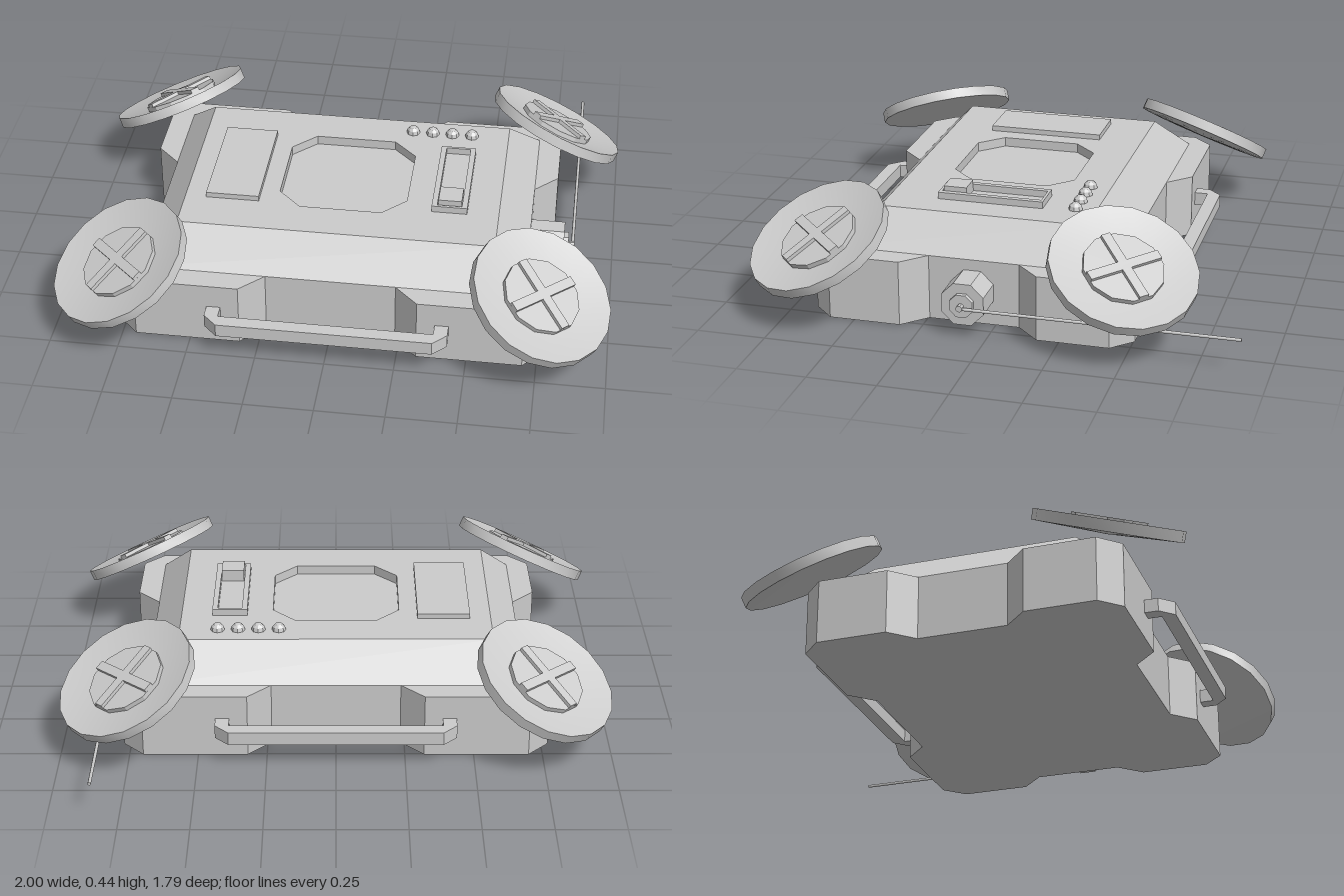
import * as THREE from 'three';
import { toCreasedNormals } from 'three/addons/utils/BufferGeometryUtils.js';

const grey = new THREE.MeshStandardMaterial({ color: 0xcccccc, flatShading: true });
const greySmooth = new THREE.MeshStandardMaterial({ color: 0xcccccc });
const greyDouble = new THREE.MeshStandardMaterial({ color: 0xcccccc, flatShading: true, side: THREE.DoubleSide });

function add(parent, name, geometry, x = 0, y = 0, z = 0, material = grey) {
  const mesh = new THREE.Mesh(geometry, material);
  mesh.name = name;
  mesh.position.set(x, y, z);
  parent.add(mesh);
  return mesh;
}

// Outlines are [x, z] pairs; shapes are drawn flat and laid onto the ground plane.
const toShape = (pts, Type = THREE.Shape) => new Type(pts.map(([x, z]) => new THREE.Vector2(x, -z)));

function flat(pts, hole) {
  const shape = toShape(pts);
  if (hole) shape.holes.push(toShape(hole, THREE.Path));
  return new THREE.ShapeGeometry(shape).rotateX(-Math.PI / 2);
}

function slab(pts, height, hole) {
  const shape = toShape(pts);
  if (hole) shape.holes.push(toShape(hole, THREE.Path));
  return new THREE.ExtrudeGeometry(shape, { depth: height, bevelEnabled: false }).rotateX(-Math.PI / 2);
}

const rect = (w, d) => [[-w / 2, d / 2], [w / 2, d / 2], [w / 2, -d / 2], [-w / 2, -d / 2]];

// Repeats a front-right quarter outline around all four quadrants
function fourWay(quarter) {
  const back = [...quarter].reverse();
  return [
    ...quarter,
    ...back.map(([x, z]) => [x, -z]),
    ...quarter.map(([x, z]) => [-x, -z]),
    ...back.map(([x, z]) => [-x, z]),
  ];
}

// Side walls joining two outlines at different heights
function walls(low, yLow, high, yHigh) {
  const pos = [];
  low.forEach(([ax, az], i) => {
    const j = (i + 1) % low.length;
    const [bx, bz] = low[j], [cx, cz] = high[j], [dx, dz] = high[i];
    pos.push(ax, yLow, az, bx, yLow, bz, cx, yHigh, cz);
    pos.push(ax, yLow, az, cx, yHigh, cz, dx, yHigh, dz);
  });
  const g = new THREE.BufferGeometry();
  g.setAttribute('position', new THREE.Float32BufferAttribute(pos, 3));
  g.computeVertexNormals();
  return g;
}

function makeWheel() {
  const wheel = new THREE.Group();
  // Shallow dished disc
  const profile = [[0, -0.03], [0.265, -0.02], [0.265, 0.02], [0.15, -0.004], [0, -0.004]]
    .map(([r, y]) => new THREE.Vector2(r, y));
  add(wheel, 'wheelDisc', toCreasedNormals(new THREE.LatheGeometry(profile, 18), 0.5), 0, 0, 0, greySmooth);
  // Hub with crossed bars
  add(wheel, 'wheelHub', new THREE.CylinderGeometry(0.145, 0.145, 0.025, 12), 0, 0.002, 0);
  for (const s of [-1, 1]) {
    add(wheel, 'hubBar', new THREE.BoxGeometry(0.28, 0.018, 0.035), 0, 0.019, 0).rotation.y = s * Math.PI / 4;
  }
  return wheel;
}

export function createModel() {
  const model = new THREE.Group();
  model.name = 'fourWheeledCase';
  const body = new THREE.Group();
  body.name = 'body';
  body.position.z = 0.08;
  model.add(body);

  // Lower hull with protruding chamfered corners
  const hull = fourWay([[0.235, 0.5], [0.32, 0.585], [0.7, 0.585], [0.775, 0.51], [0.775, 0.25], [0.69, 0.165]]);
  add(body, 'lowerHull', slab(hull, 0.24));

  // Sloped upper hull with an eight-sided recess
  const top = 0.365, floor = 0.33;
  const lidTop = rect(1.15, 0.76);
  const recess = fourWay([[0.15, 0.23], [0.235, 0.145]]);
  add(body, 'upperSlopes', walls(rect(1.38, 1), 0.24, lidTop, top));
  add(body, 'topDeck', flat(lidTop, recess), 0, top, 0);
  add(body, 'recessWalls', walls(recess, floor, recess, top), 0, 0, 0, greyDouble);
  add(body, 'recessFloor', flat(recess), 0, floor, 0);

  // Deck fittings: flat panel, slider in a frame, row of buttons
  add(body, 'deckPanel', new THREE.BoxGeometry(0.195, 0.03, 0.435), -0.4, 0.37, 0);
  add(body, 'sliderFrame', slab(rect(0.13, 0.39), 0.025, rect(0.09, 0.37)), 0.395, top, 0.005);
  add(body, 'sliderKnob', new THREE.BoxGeometry(0.085, 0.05, 0.085), 0.396, 0.383, 0.142);
  for (let i = 0; i < 4; i++) {
    add(body, 'button', new THREE.SphereGeometry(0.026, 8, 6), 0.21 + i * 0.075, 0.367, -0.305);
  }

  // Grab handles on the front and back
  const handle = [
    [-0.435, 0.58], [-0.435, 0.635], [-0.385, 0.685], [0.385, 0.685], [0.435, 0.635], [0.435, 0.58],
    [0.385, 0.58], [0.385, 0.635], [-0.385, 0.635], [-0.385, 0.58],
  ];
  add(body, 'frontHandle', slab(handle, 0.05), 0, 0.1, 0);
  add(body, 'backHandle', slab(handle, 0.05), 0, 0.1, 0).rotation.y = Math.PI;

  // Outward-tilted wheels on the four corners
  for (const sx of [-1, 1]) for (const sz of [-1, 1]) {
    const wheel = makeWheel();
    wheel.name = (sz > 0 ? 'front' : 'back') + (sx > 0 ? 'Left' : 'Right') + 'Wheel';
    wheel.position.set(sx * 0.75, 0.29, sz * 0.55);
    const axis = new THREE.Vector3(sx * 0.41, 0.86, sz * 0.3).normalize();
    wheel.quaternion.setFromUnitVectors(new THREE.Vector3(0, 1, 0), axis);
    body.add(wheel);
  }

  // Stepped antenna mount and long rod on the left side
  const antenna = new THREE.Group();
  antenna.name = 'antenna';
  antenna.position.set(0, 0.123, 0.005);
  body.add(antenna);
  const stub = (name, r, x0, x1) => add(antenna, name,
    new THREE.CylinderGeometry(r, r, x1 - x0, 8).rotateY(Math.PI / 8).rotateZ(Math.PI / 2), (x0 + x1) / 2, 0, 0);
  stub('antennaMount', 0.083, 0.67, 0.815);
  stub('antennaCollar', 0.045, 0.815, 0.832);
  stub('antennaPivot', 0.012, 0.832, 0.855);
  add(antenna, 'antennaRod', new THREE.CylinderGeometry(0.006, 0.006, 0.985, 8).rotateX(Math.PI / 2),
    0.848, -0.002, -0.4925, greySmooth);

  return model;
}
